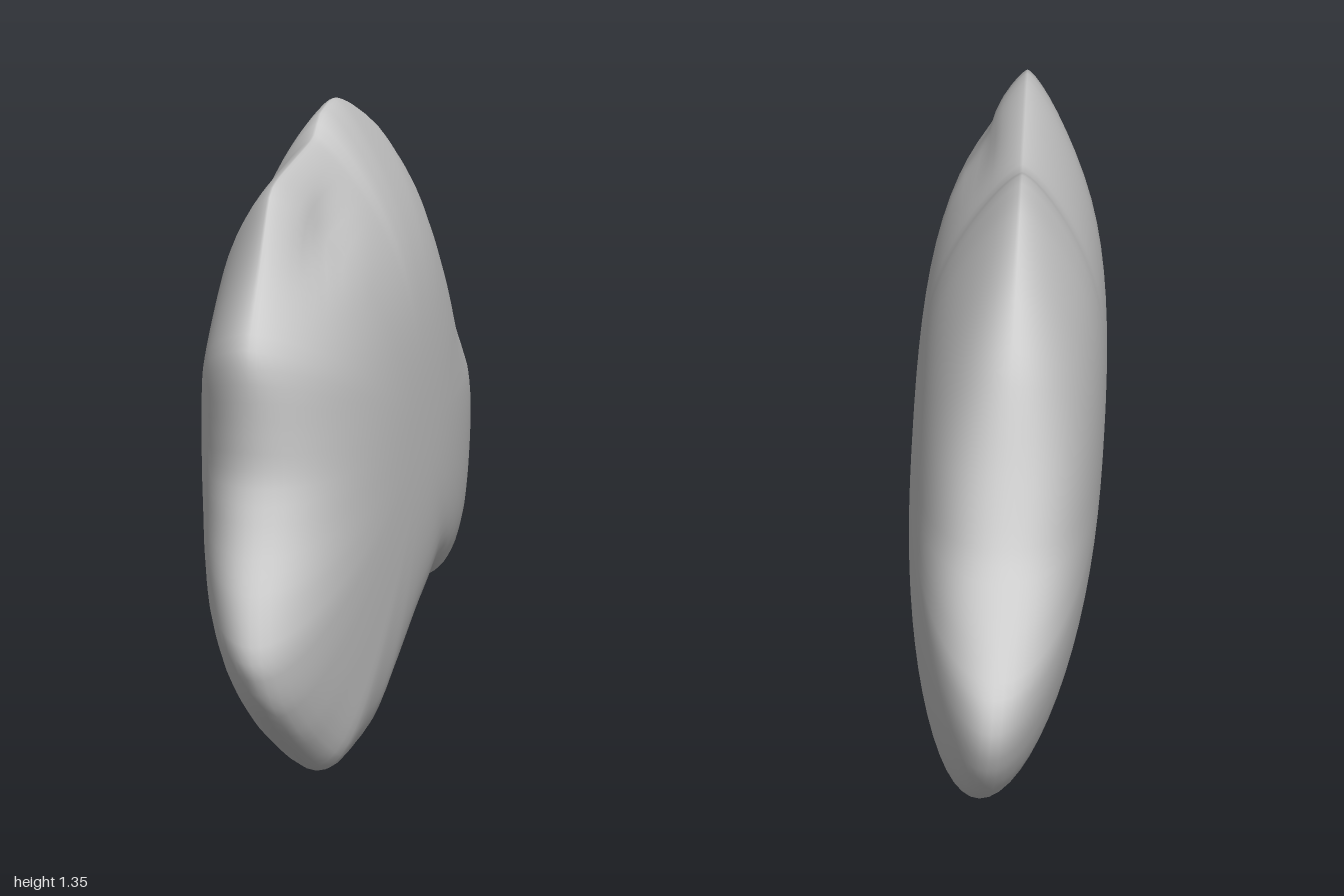
import * as THREE from 'three';

// Side outline of the stone as [z, y], running front -> top -> back -> bottom
const OUTLINE = [
  [1, .32], [.96, .44], [.88, .57], [.83, .70], [.835, .82], [.845, .99], [.70, 1.14], [.56, 1.28],
  [.45, 1.30], [.1, 1.305], [.02, 1.34], [-.12, 1.345], [-.24, 1.31], [-.37, 1.25], [-.49, 1.14],
  [-.60, .94], [-.71, .77], [-.87, .66], [-.98, .57], [-1, .48], [-.96, .38], [-.89, .29],
  [-.80, .22], [-.67, .175], [-.54, .165], [-.42, .18], [-.22, .23], [0, .16], [.2, .07],
  [.37, .012], [.5, .003], [.66, .005], [.84, .11], [.95, .21],
];
const CENTRE = { z: .05, y: .65 };
const CORE = { z: .9, y: .62 }; // radii of the oval that the inner rings follow
const HALF_WIDTH = .212;
const RINGS = 36, SEGMENTS = 136;
const { smoothstep, lerp } = THREE.MathUtils;

// Sideways lean of the middle plane: towards +x at the foot, -x at the crest
const lean = (y, z) => .1 * Math.exp(-y / .25) - .03 * (y / 1.3) ** 2 + .012 * z;

// Rounded thickness, pinched to a ridge along the crest
function halfThickness(t, y, z) {
  const ridge = smoothstep(y, .85, 1.3) * smoothstep(z, -.65, -.05);
  return HALF_WIDTH * Math.pow(Math.max(0, 1 - Math.pow(t, 2.5)), .5 + .24 * ridge);
}

// Shallow slanting groove near the upper front of the +x face
const groove = (y, z) => .02 * Math.exp(-(((z - .42) / .2) ** 2) - ((y - 1.17 + .2 * (z - .42)) / .06) ** 2);

function stoneGeometry() {
  const curve = new THREE.CatmullRomCurve3(
    OUTLINE.map(([z, y]) => new THREE.Vector3(0, y, z)), true, 'catmullrom', .3);
  const rim = curve.getSpacedPoints(SEGMENTS).slice(0, SEGMENTS);
  const positions = [], index = [];

  // Rings change from a plain oval at the middle of a face to the outline at the rim
  const addPoint = (t, side, p) => {
    const dz = p.z - CENTRE.z, dy = p.y - CENTRE.y;
    const oval = 1 / Math.hypot(dz / CORE.z, dy / CORE.y);
    const reach = t * lerp(oval, 1, t * t);
    const y = CENTRE.y + reach * dy, z = CENTRE.z + reach * dz;
    let x = lean(y, z) + side * halfThickness(t, y, z);
    if (side > 0) x -= groove(y, z) * Math.min(1, (1 - t) * 8);
    positions.push(x, y, z);
  };

  // From the -x face, over the rim, to the +x face
  addPoint(0, -1, rim[0]);
  for (let i = 1; i < RINGS; i++) {
    const angle = (i / RINGS - .5) * Math.PI;
    for (const p of rim) addPoint(Math.cos(angle), Math.sign(angle), p);
  }
  addPoint(0, 1, rim[0]);

  const last = positions.length / 3 - 1;
  const at = (i, j) => 1 + (i - 1) * SEGMENTS + (j % SEGMENTS);
  for (let j = 0; j < SEGMENTS; j++) {
    index.push(0, at(1, j), at(1, j + 1));
    for (let i = 1; i < RINGS - 1; i++) {
      const a = at(i, j), b = at(i + 1, j), c = at(i + 1, j + 1), d = at(i, j + 1);
      index.push(a, b, d, b, c, d);
    }
    index.push(at(RINGS - 1, j), last, at(RINGS - 1, j + 1));
  }

  const geometry = new THREE.BufferGeometry();
  geometry.setAttribute('position', new THREE.Float32BufferAttribute(positions, 3));
  geometry.setIndex(index);
  geometry.computeVertexNormals();
  return geometry;
}

export function createModel() {
  const group = new THREE.Group();
  group.name = 'stone';
  const body = new THREE.Mesh(stoneGeometry(), new THREE.MeshStandardMaterial({ color: 0xcccccc }));
  body.name = 'stoneBody';
  group.add(body);
  return group;
}
